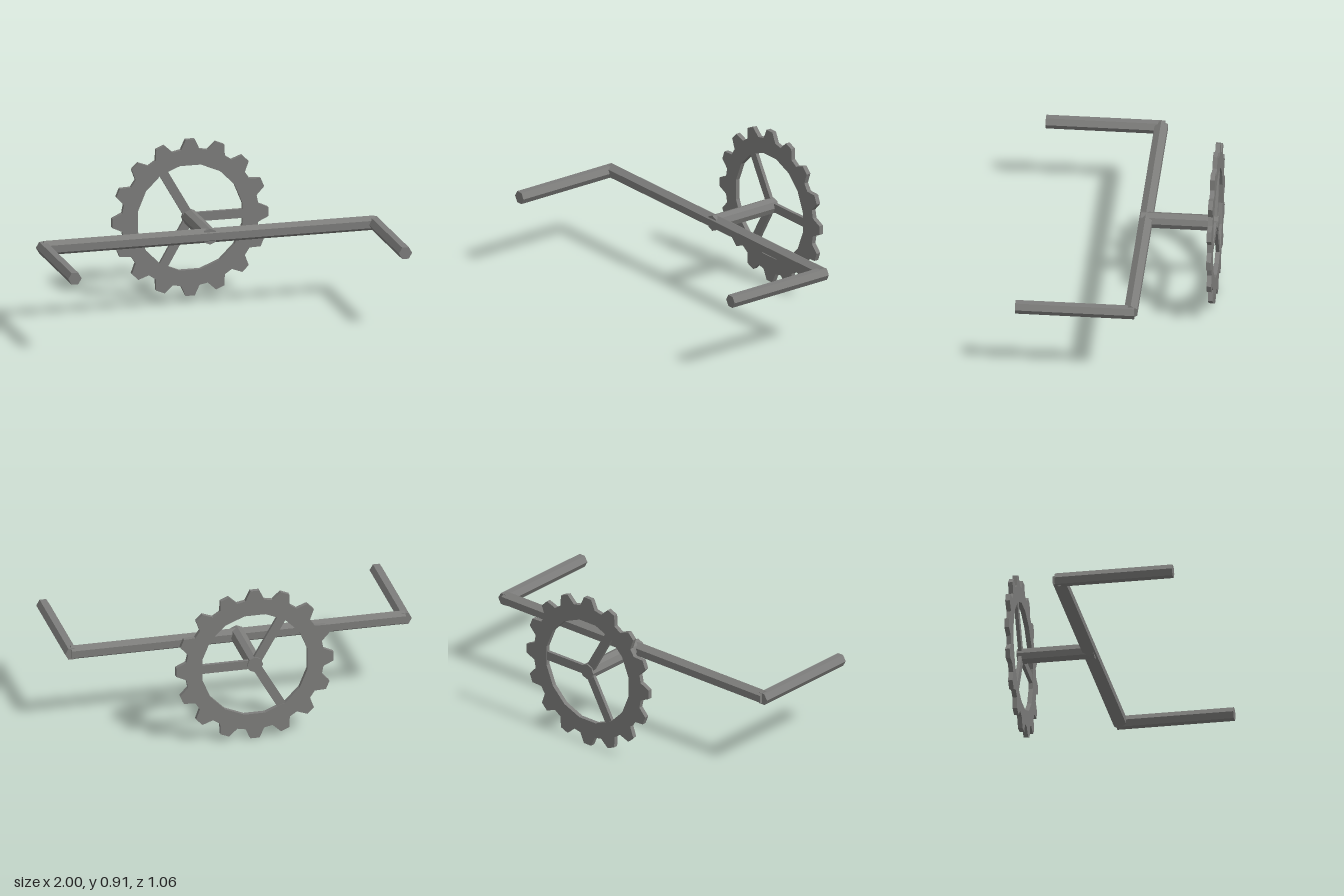
import * as THREE from 'three';

const CY = 0.455; // height of the axle line

export function createModel() {
  const model = new THREE.Group();
  const steel = new THREE.MeshStandardMaterial({ color: 0x7d7d7b });
  steel.name = 'steel grey';
  steel.flatShading = true;

  const add = (name, geometry) => {
    const mesh = new THREE.Mesh(geometry, steel);
    mesh.name = name;
    model.add(mesh);
    return mesh;
  };

  // Faceted rod along z; first edge lies towards -y/+y
  const rod = (radius, length, sides) =>
    new THREE.CylinderGeometry(radius, radius, length, sides).rotateX(Math.PI / 2);

  // Cross bar: hexagonal, ridge upwards
  add('crossBar', rod(0.042, 1.926, 6).rotateY(Math.PI / 2)).position.set(0, CY, -0.12);

  // Forward arms: hexagonal, flat on top
  for (const side of [1, -1]) {
    const arm = rod(0.0385, 0.669, 6).rotateZ(Math.PI / 2);
    add(side > 0 ? 'leftArm' : 'rightArm', arm).position.set(side * 0.9615, CY - 0.001, 0.1935);
  }

  // Axle: octagonal, from the cross bar back through the gear
  add('axle', rod(0.046, 0.437, 8)).position.set(0, CY, -0.3105);

  // Gear ring with 16 tapered teeth and a faceted opening
  const teeth = 16;
  const step = (Math.PI * 2) / teeth;
  const outline = [];
  const opening = [];
  for (let i = 0; i < teeth; i++) {
    const a = i * step;
    for (const [r, offset] of [[0.399, -0.135], [0.455, -0.058], [0.455, 0.058], [0.399, 0.135]]) {
      outline.push(new THREE.Vector2(r * Math.cos(a + offset), r * Math.sin(a + offset)));
    }
    const b = a + step / 2;
    opening.push(new THREE.Vector2(0.31 * Math.cos(b), 0.31 * Math.sin(b)));
  }
  const ring = new THREE.Shape(outline);
  ring.holes.push(new THREE.Path(opening));
  add('gearRing', new THREE.ExtrudeGeometry(ring, { depth: 0.026, bevelEnabled: false }))
    .position.set(0, CY, -0.524);

  // Three spokes
  for (let i = 0; i < 3; i++) {
    const spoke = new THREE.BoxGeometry(0.31, 0.052, 0.02).translate(0.165, 0, 0);
    spoke.rotateZ((i * Math.PI * 2) / 3);
    add('spoke' + (i + 1), spoke).position.set(0, CY, -0.511);
  }

  return model;
}
